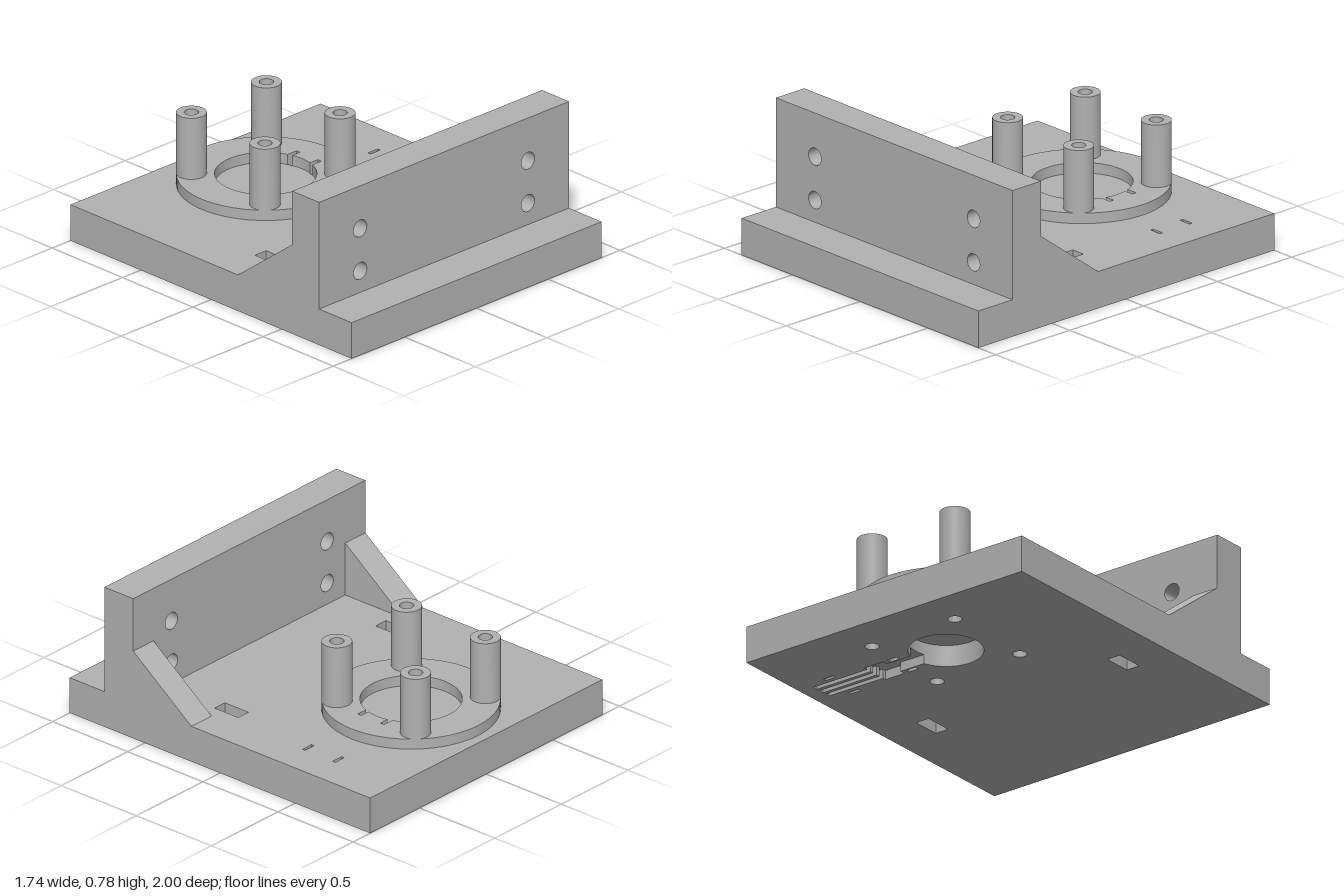
import * as THREE from 'three';
import { toCreasedNormals } from 'three/addons/utils/BufferGeometryUtils.js';

const W = 0.872;        // half width of the bracket
const PLATE_TOP = 0.197;
const CZ = -0.5;        // z of the motor seat centre
const POST = 0.262;     // post offset from the seat centre

const path = (points) => new THREE.Path(points.map(([x, y]) => new THREE.Vector2(x, y)));
const rect = (x0, x1, y0, y1) => path([[x0, y0], [x1, y0], [x1, y1], [x0, y1]]);
const circle = (x, y, r) => new THREE.Path().absarc(x, y, r, 0, Math.PI * 2);

// Points along an arc about a centre
function arc(cy, r, a0, a1, n) {
  return Array.from({ length: n + 1 }, (_, i) => {
    const a = a0 + (a1 - a0) * i / n;
    return [r * Math.cos(a), cy + r * Math.sin(a)];
  });
}

function extrude(outline, holes, depth) {
  const shape = new THREE.Shape(outline.getPoints(32));
  shape.holes = holes;
  const g = new THREE.ExtrudeGeometry(shape, { depth, bevelEnabled: false, curveSegments: 32 });
  return toCreasedNormals(g, 0.5);
}

// Horizontal slab; plan coordinates are (x, -z)
function slab(outline, holes, y0, y1) {
  return extrude(outline, holes, y1 - y0).rotateX(-Math.PI / 2).translate(0, y0, 0);
}

export function createModel() {
  const group = new THREE.Group();
  group.name = 'motorBracket';
  const grey = new THREE.MeshStandardMaterial({ color: 0xb2b2b2 });
  grey.name = 'grey';
  const add = (name, geometry) => {
    const mesh = new THREE.Mesh(geometry, grey);
    mesh.name = name;
    group.add(mesh);
    return mesh;
  };

  const cy = -CZ;
  const posts = [[-1, -1], [1, -1], [1, 1], [-1, 1]].map(([sx, sy]) => [sx * POST, cy + sy * POST]);

  // Openings that pass right through the plate
  const throughHoles = () => {
    const holes = posts.map(([x, y]) => circle(x, y, 0.036));
    for (const s of [-1, 1]) {
      holes.push(rect(s * 0.605 - 0.039, s * 0.605 + 0.039, -0.238, -0.08));
      holes.push(rect(0.243, 0.302, cy + s * 0.0755 - 0.0125, cy + s * 0.0755 + 0.0125));
      holes.push(rect(0.624, 0.693, cy + s * 0.1 - 0.009, cy + s * 0.1 + 0.009));
    }
    return holes;
  };

  // Underside recess: round well, connector pocket and three wire grooves
  const R = 0.19;
  const a = Math.asin(0.055 / R);
  const recess = arc(cy, R, a, Math.PI * 2 - a, 48);
  recess.push([0.33, cy - 0.055], [0.33, cy - 0.085], [0.45, cy - 0.085]);
  for (const o of [-0.05, 0, 0.05]) {
    recess.push([0.45, cy + o - 0.014], [0.79, cy + o - 0.014], [0.79, cy + o + 0.014], [0.45, cy + o + 0.014]);
  }
  recess.push([0.45, cy + 0.085], [0.33, cy + 0.085], [0.33, cy + 0.055]);

  // Base plate in three layers
  const plate = () => rect(-W, W, -1, 1);
  add('basePlateBottom', slab(plate(), [...throughHoles(), path(recess)], 0, 0.05));
  add('basePlateMiddle', slab(plate(), [...throughHoles(), circle(0, cy, R)], 0.05, 0.115));
  add('basePlateTop', slab(plate(), throughHoles(), 0.115, PLATE_TOP));

  // Raised seat ring, its inner edge notched by the tie slots
  const r = 0.255;
  const a0 = Math.asin(0.063 / r);
  const a1 = Math.asin(0.088 / r);
  const inner = [
    ...arc(cy, r, a1, Math.PI * 2 - a1, 56),
    [0.302, cy - 0.088], [0.302, cy - 0.063],
    ...arc(cy, r, -a0, a0, 8),
    [0.302, cy + 0.063], [0.302, cy + 0.088],
  ];
  add('seatRing', slab(circle(0, cy, 0.446),
    [path(inner), ...posts.map(([x, y]) => circle(x, y, 0.036))], PLATE_TOP, 0.253));

  // Four hollow posts
  for (const [x, y] of posts) {
    add('post', slab(circle(x, y, 0.077), [circle(x, y, 0.036)], PLATE_TOP, 0.587));
  }

  // Upright wall with four bolt holes
  const boltHoles = [];
  for (const x of [-0.585, 0.585]) for (const y of [0.315, 0.547]) boltHoles.push(circle(x, y, 0.046));
  add('uprightWall', extrude(rect(-W, W, PLATE_TOP, 0.78), boltHoles, 0.192).translate(0, 0, 0.577));

  // Sloped gussets behind the wall; profile drawn in (-z, y)
  for (const s of [-1, 1]) {
    const profile = path([[-0.577, PLATE_TOP], [-0.19, PLATE_TOP], [-0.577, 0.487]]);
    const g = extrude(profile, [], 0.152).rotateY(Math.PI / 2);
    add(s > 0 ? 'leftGusset' : 'rightGusset', g.translate(s > 0 ? W - 0.152 : -W, 0, 0));
  }
  return group;
}
